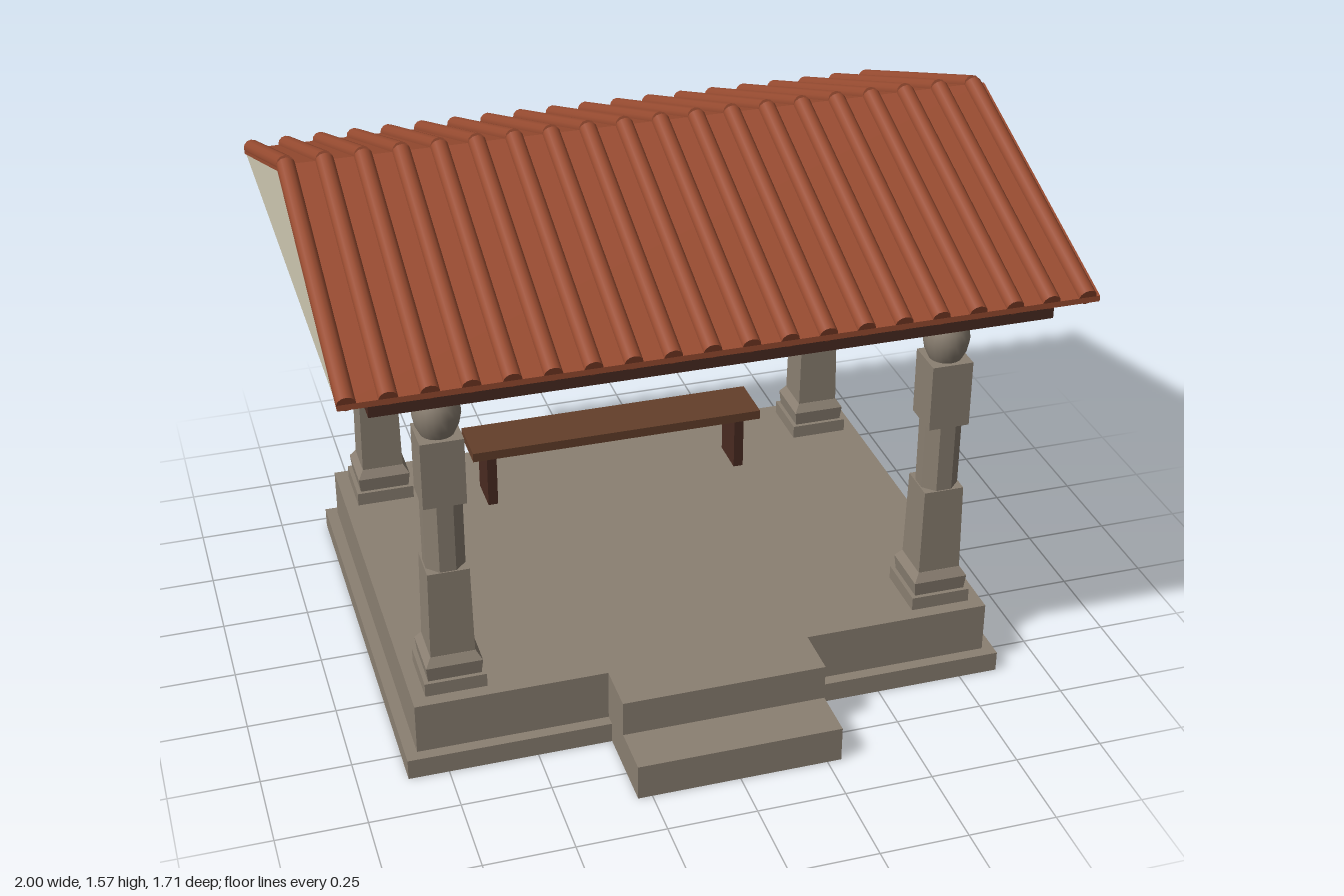
import * as THREE from 'three';

const mat = (name, color) => {
  const m = new THREE.MeshStandardMaterial({ color });
  m.name = name;
  return m;
};

export function createModel() {
  const stone = mat('stone', 0x8b8072);
  const tile = mat('roof tile', 0x994c31);
  const plaster = mat('plaster', 0xcfc8b2);
  const darkWood = mat('dark wood', 0x4a2b21);
  const seatWood = mat('seat wood', 0x643f2a);

  const model = new THREE.Group();
  model.name = 'pavilion';
  const zMid = -0.053; // centre line of the building, behind the steps

  const add = (parent, name, geometry, material, x = 0, y = 0, z = 0) => {
    const mesh = new THREE.Mesh(geometry, material);
    mesh.name = name;
    mesh.position.set(x, y, z);
    parent.add(mesh);
    return mesh;
  };
  // Box given by its ranges
  const box = (parent, name, material, [x0, x1], [y0, y1], [z0, z1]) =>
    add(parent, name, new THREE.BoxGeometry(x1 - x0, y1 - y0, z1 - z0), material,
      (x0 + x1) / 2, (y0 + y1) / 2, (z0 + z1) / 2);
  // Flat-sided tapered prism, sized across its flats
  const prism = (sides, wBottom, wTop, y0, y1) => {
    const k = 0.5 / Math.cos(Math.PI / sides);
    const g = new THREE.CylinderGeometry(wTop * k, wBottom * k, y1 - y0, sides)
      .rotateY(Math.PI / sides).translate(0, (y0 + y1) / 2, 0).toNonIndexed();
    g.computeVertexNormals();
    return g;
  };
  // Shape in (z, y), extruded along x about the centre
  const extrudeX = (points, length) => new THREE.ExtrudeGeometry(
    new THREE.Shape(points.map(p => new THREE.Vector2(...p))),
    { depth: length, bevelEnabled: false },
  ).translate(0, 0, -length / 2).rotateY(-Math.PI / 2);

  // Stepped platform
  box(model, 'plinth', stone, [-0.863, 0.863], [0, 0.06], [-0.71, 0.604]);
  box(model, 'floor', stone, [-0.83, 0.83], [0.06, 0.21], [-0.677, 0.571]);
  box(model, 'upperStep', stone, [-0.29, 0.29], [0, 0.21], [0.5, 0.716]);
  box(model, 'lowerStep', stone, [-0.29, 0.29], [0, 0.105], [0.7, 0.86]);

  // Four columns: [name, sides, bottom width, top width, y0, y1]
  const sections = [
    ['columnBase', 4, 0.172, 0.172, 0.21, 0.25],
    ['columnBaseMoulding', 4, 0.148, 0.157, 0.25, 0.293],
    ['columnBaseSlope', 4, 0.157, 0.125, 0.293, 0.318],
    ['lowerShaft', 4, 0.123, 0.115, 0.318, 0.58],
    ['octagonalShaft', 8, 0.108, 0.108, 0.58, 0.785],
    ['upperShaft', 4, 0.117, 0.117, 0.785, 0.98],
    ['capitalFlare', 4, 0.115, 0.155, 1.135, 1.155],
    ['abacus', 4, 0.166, 0.166, 1.155, 1.17],
  ].map(([name, ...dims]) => [name, prism(...dims)]);
  const bulb = new THREE.LatheGeometry([
    [0.046, 0.98], [0.058, 1.005], [0.065, 1.04], [0.06, 1.07], [0.048, 1.095],
    [0.038, 1.11], [0.042, 1.122], [0.056, 1.138],
  ].map(p => new THREE.Vector2(...p)), 20);
  for (const x of [-0.706, 0.706]) {
    for (const z of [-0.5, 0.5]) {
      const column = new THREE.Group();
      column.name = z > 0 ? 'frontColumn' : 'backColumn';
      column.position.set(x, 0, zMid + z);
      for (const [name, g] of sections) add(column, name, g, stone);
      add(column, 'capitalBulb', bulb, stone);
      model.add(column);
    }
  }

  // Bench
  const bench = new THREE.Group();
  bench.name = 'bench';
  box(bench, 'benchSeat', seatWood, [-0.456, 0.456], [0.383, 0.412], [-0.495, -0.335]);
  for (const x of [-0.395, 0.395]) {
    box(bench, 'benchLeg', darkWood, [x - 0.015, x + 0.015], [0.21, 0.383], [-0.475, -0.355]);
  }
  model.add(bench);

  // Ceiling beam slab
  box(model, 'ceilingBeam', darkWood, [-0.912, 0.912], [1.17, 1.25], [zMid - 0.708, zMid + 0.708]);

  // Pitched roof
  const roof = new THREE.Group();
  roof.name = 'roof';
  roof.position.z = zMid;
  model.add(roof);
  const ridge = 1.549, eave = 1.264, run = 0.79, t = 0.016;
  add(roof, 'roofSlab', extrudeX([
    [-run, eave - t], [0, ridge - t], [run, eave - t],
    [run, eave], [0, ridge], [-run, eave],
  ], 1.996), tile);

  // Gable plates
  const gable = extrudeX([[-0.785, 1.25], [0.785, 1.25], [0, 1.534]], 0.009);
  for (const x of [-0.99, 0.99]) add(roof, 'gable', gable, plaster, x);

  // Rows of round tiles down both slopes
  const slope = Math.atan2(ridge - eave, run);
  const row = new THREE.CylinderGeometry(0.0245, 0.0245, Math.hypot(run, ridge - eave), 12);
  for (const side of [-1, 1]) {
    for (let i = 0; i < 20; i++) {
      const rib = add(roof, 'tileRow', row, tile, -0.975 + i * 0.102, (ridge + eave) / 2, side * run / 2);
      rib.rotation.x = side * (Math.PI / 2 + slope);
    }
  }
  return model;
}
